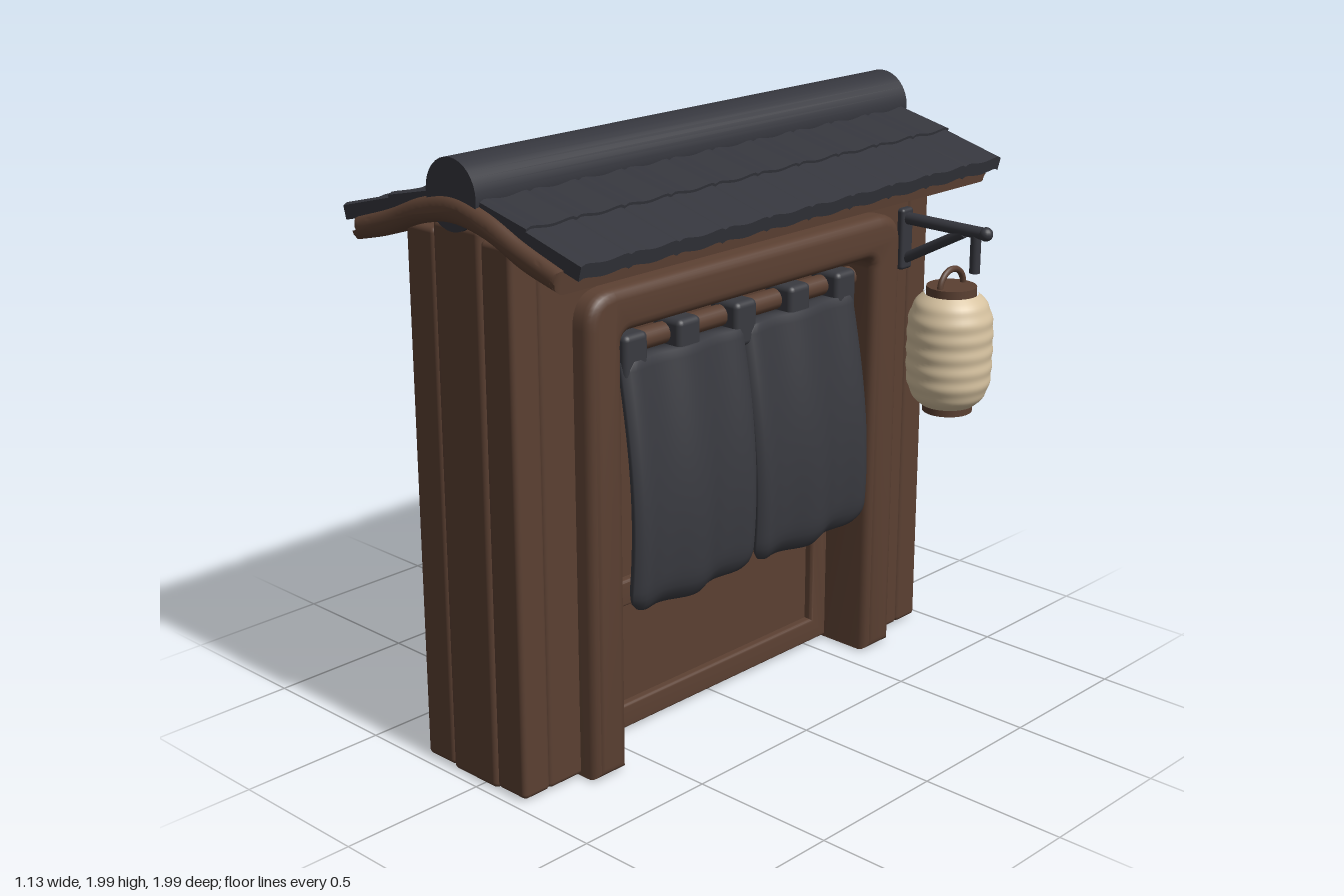
import * as THREE from 'three';
import { mergeVertices, toCreasedNormals } from 'three/addons/utils/BufferGeometryUtils.js';
import { RoundedBoxGeometry } from 'three/addons/geometries/RoundedBoxGeometry.js';

const flat = (name, color) => {
  const m = new THREE.MeshStandardMaterial({ color });
  m.name = name;
  return m;
};

export function createModel() {
  const wood = flat('brown wood', 0x5b4032);
  const slate = flat('dark slate', 0x35363d);
  const cloth = flat('dark cloth', 0x393a40);
  const paper = flat('cream paper', 0xd6c2a0);
  const model = new THREE.Group();
  model.name = 'gateStall';

  const add = (name, geo, mat, parent = model) => {
    const mesh = new THREE.Mesh(geo, mat);
    mesh.name = name;
    parent.add(mesh);
    return mesh;
  };
  // Rounded box given by its limits
  const block = (name, mat, [x0, x1], [y0, y1], [z0, z1], r = 0.025) => {
    const geo = new RoundedBoxGeometry(x1 - x0, y1 - y0, z1 - z0, 3, r);
    geo.translate((x0 + x1) / 2, (y0 + y1) / 2, (z0 + z1) / 2);
    return add(name, geo, mat);
  };
  // Extrusion with bevels kept inside the outline
  const extrude = (shape, depth, b) => toCreasedNormals(new THREE.ExtrudeGeometry(shape, {
    depth: depth - 2 * b, bevelThickness: b, bevelSize: b, bevelOffset: -b, bevelSegments: 4, curveSegments: 8,
  }).translate(0, 0, b), 0.7);
  // Extrusion of a (z, y) outline along x
  const extrudeX = (shape, x0, x1, b) => extrude(shape, x1 - x0, b).rotateY(Math.PI / 2).translate(x0, 0, 0);
  // Round bar between two points
  const bar = (name, a, b, r, mat, parent) => {
    const path = new THREE.LineCurve3(new THREE.Vector3(...a), new THREE.Vector3(...b));
    const mesh = add(name, new THREE.CylinderGeometry(r, r, path.getLength(), 14), mat, parent);
    path.getPoint(0.5, mesh.position);
    mesh.quaternion.setFromUnitVectors(new THREE.Vector3(0, 1, 0), path.getTangent(0));
  };
  const smooth = (geo) => {
    geo.deleteAttribute('uv');
    geo.deleteAttribute('normal');
    const out = mergeVertices(geo);
    out.computeVertexNormals();
    return out;
  };

  // End posts made of planks with grooves between them
  for (const s of [-1, 1]) {
    const span = (a, b) => (s > 0 ? [a, b] : [-b, -a]);
    block('postCore', wood, [-0.255, 0.175], [0.03, 1.76], span(0.6, 0.95), 0.01);
    block('middlePlank', wood, [-0.145, 0.065], [0.005, 1.8], span(0.62, 0.97), 0.02);
    for (const [x0, x1] of [[-0.272, -0.14], [0.06, 0.192]]) {
      block('outerPlank', wood, [x0, x1], [0.012, 1.77], span(0.857, 0.966), 0.018);
      block('innerPlank', wood, [x0, x1], [0.012, 1.77], span(0.62, 0.863), 0.018);
    }
  }
  block('headBeam', wood, [-0.268, 0.188], [1.46, 1.77], [-0.73, 0.73], 0.01);

  // Rounded arch frame
  const arch = new THREE.Shape();
  arch.moveTo(-0.73, 0.01);
  arch.lineTo(-0.59, 0.01);
  arch.lineTo(-0.59, 1.41);
  arch.quadraticCurveTo(-0.59, 1.45, -0.55, 1.45);
  arch.lineTo(0.55, 1.45);
  arch.quadraticCurveTo(0.59, 1.45, 0.59, 1.41);
  arch.lineTo(0.59, 0.01);
  arch.lineTo(0.73, 0.01);
  arch.lineTo(0.73, 1.48);
  arch.quadraticCurveTo(0.73, 1.59, 0.62, 1.59);
  arch.lineTo(-0.62, 1.59);
  arch.quadraticCurveTo(-0.73, 1.59, -0.73, 1.48);
  add('archFrame', extrudeX(arch, -0.35, 0.267, 0.035), wood);

  // Infill wall with two sunken panels
  const rect = (C, w, y0, y1) => {
    const s = new C();
    s.moveTo(-w, y0);
    s.lineTo(w, y0);
    s.lineTo(w, y1);
    s.lineTo(-w, y1);
    s.closePath();
    return s;
  };
  const rim = rect(THREE.Shape, 0.6, 0.015, 1.47);
  rim.holes.push(rect(THREE.Path, 0.515, 0.1, 0.45), rect(THREE.Path, 0.55, 0.54, 1.4));
  add('wallRim', extrudeX(rim, -0.155, 0.075, 0.012), wood);
  block('wallPanel', wood, [-0.125, 0.045], [0.05, 1.46], [-0.59, 0.59], 0.01);
  bar('curtainRod', [0.15, 1.37, -0.6], [0.15, 1.37, 0.6], 0.035, wood);

  // Two soft curtain halves, joined at the top and split below, with folds
  for (const s of [-1, 1]) {
    const geo = new THREE.BoxGeometry(1, 1, 1, 2, 28, 28);
    const p = geo.attributes.position;
    for (let i = 0; i < p.count; i++) {
      const u = p.getZ(i) * 2, v = p.getY(i) + 0.5;
      const bottom = Math.max(0, 1 - v / 0.12);
      const edge = Math.sqrt(Math.max(0.04, 1 - Math.abs(u) ** 8)) * Math.sqrt(Math.max(0.05, 1 - bottom ** 2));
      const fold = 0.018 * Math.cos(u * Math.PI * 2) * (1 - 0.5 * v);
      const centre = 0.18 + 0.07 * Math.sin(Math.PI * Math.min(1, (1 - v) * 0.72 + 0.02));
      const gap = 0.01 * Math.max(0, 1 - v / 0.75);
      const inner = gap + 0.02 * bottom ** 3;
      const outer = 0.562 - 0.018 * v - 0.03 * bottom ** 3;
      const z = inner + (outer - inner) * (s * u + 1) / 2;
      const y = 0.51 + 0.825 * v + 0.025 * bottom * Math.abs(u) ** 4;
      p.setXYZ(i, centre + fold + p.getX(i) * 0.085 * edge, y, s * z);
    }
    add('curtainHalf', smooth(geo), cloth);
  }
  for (const z of [-0.493, -0.26, 0, 0.26, 0.493]) {
    block('curtainLoop', cloth, [0.1, 0.225], [1.27, 1.42], [z - 0.05, z + 0.05], 0.02);
  }

  // Roof: curved board, ridge and two rows of tiles on each slope
  const roof = new THREE.Group();
  roof.name = 'roof';
  roof.position.x = -0.04;
  model.add(roof);
  const board = new THREE.Shape();
  board.moveTo(-0.45, 1.675);
  board.splineThru([[-0.3, 1.715], [-0.15, 1.775], [0, 1.8], [0.15, 1.775], [0.3, 1.715], [0.45, 1.675]]
    .map((q) => new THREE.Vector2(...q)));
  board.lineTo(0.455, 1.745);
  board.splineThru([[0.3, 1.795], [0.15, 1.855], [0, 1.885], [-0.15, 1.855], [-0.3, 1.795], [-0.455, 1.745]]
    .map((q) => new THREE.Vector2(...q)));
  add('roofBoard', extrude(board, 1.99, 0.03).translate(0, 0, -0.995), wood, roof);

  const ridge = add('ridge', new THREE.CylinderGeometry(0.11, 0.11, 1.96, 32), slate, roof);
  ridge.rotation.x = Math.PI / 2;
  ridge.position.y = 1.888;

  const pitch = 0.193;
  const tile = (u0, y0, u1, y1) => {
    const geo = new THREE.BoxGeometry(Math.hypot(u1 - u0, y1 - y0), 0.045, pitch + 0.002, 2, 1, 12);
    const p = geo.attributes.position;
    for (let i = 0; i < p.count; i++) {
      const t = p.getZ(i) / pitch * 2;
      // soft wave with edges turned down into the seams
      p.setY(i, p.getY(i) - 0.005 * Math.cos(t * Math.PI) - 0.008 * Math.abs(t) ** 10);
    }
    geo.rotateZ(Math.atan2(y1 - y0, u1 - u0));
    geo.translate((u0 + u1) / 2, (y0 + y1) / 2, 0);
    return toCreasedNormals(geo, 0.7);
  };
  const rows = [tile(0.03, 1.88, 0.3, 1.818), tile(0.24, 1.825, 0.52, 1.75)];
  for (const turn of [0, Math.PI]) {
    const slope = new THREE.Group();
    slope.name = 'tileSlope';
    slope.rotation.y = turn;
    roof.add(slope);
    for (let i = 0; i < 10; i++) {
      for (const geo of rows) add('roofTile', geo, slate, slope).position.z = (i - 4.5) * pitch;
    }
  }

  // Lantern bracket
  const bz = -0.825;
  block('bracketPlate', slate, [0.18, 0.215], [1.36, 1.575], [bz - 0.03, bz + 0.03], 0.012);
  bar('bracketArm', [0.19, 1.54, bz], [0.55, 1.54, bz], 0.021, slate);
  bar('bracketBrace', [0.19, 1.39, bz], [0.45, 1.53, bz], 0.018, slate);
  bar('bracketDrop', [0.5, 1.54, bz], [0.5, 1.4, bz], 0.018, slate);
  add('bracketTip', new THREE.SphereGeometry(0.024, 16, 12), slate).position.set(0.54, 1.54, bz);

  // Ribbed paper lantern
  const lantern = new THREE.Group();
  lantern.name = 'lantern';
  lantern.position.set(0.397, 1.112, -0.84);
  model.add(lantern);
  const profile = [];
  for (let i = 0; i <= 56; i++) {
    const t = i / 28 - 1;
    const r = 0.147 * (1 - 0.36 * Math.abs(t) ** 4.5) + 0.0018 * Math.cos(t * Math.PI * 7);
    profile.push(new THREE.Vector2(r, t * 0.197));
  }
  add('lanternBody', new THREE.LatheGeometry(profile, 40), paper, lantern);
  for (const s of [-1, 1]) {
    add('lanternCap', new THREE.CylinderGeometry(0.086, 0.086, 0.045, 28), wood, lantern).position.y = s * 0.2;
  }
  const handle = add('lanternHandle', new THREE.TorusGeometry(0.065, 0.011, 10, 24, Math.PI), wood, lantern);
  handle.rotation.y = Math.PI / 2;
  handle.position.y = 0.215;

  return model;
}
